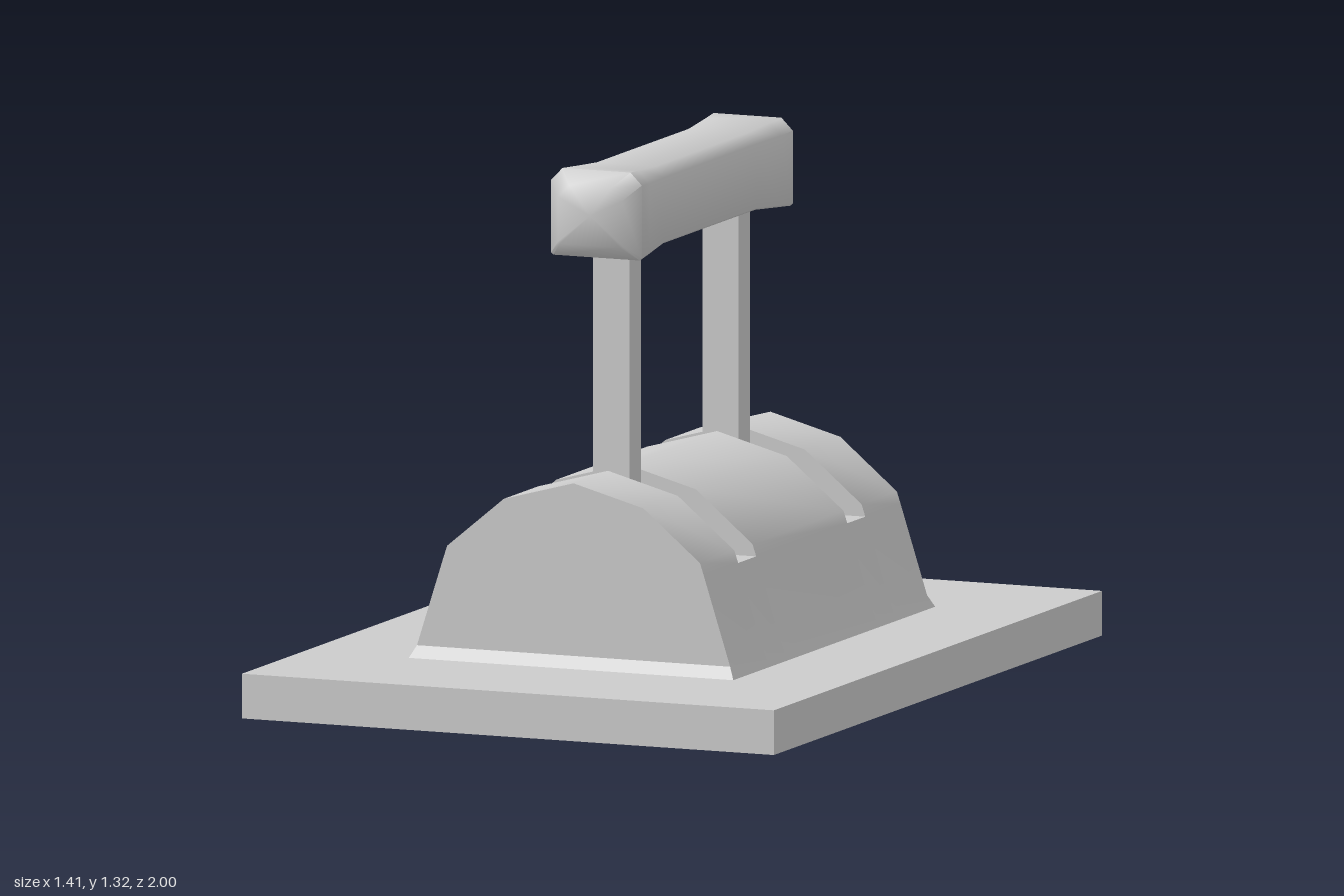
import * as THREE from 'three';
import { toCreasedNormals } from 'three/addons/utils/BufferGeometryUtils.js';

const material = new THREE.MeshStandardMaterial({ color: 0xcccccc, side: THREE.DoubleSide });
const PLATE_Y = 0.11, SLOT_Y = 0.36, END_Z = 0.6, FOOT_Z = 0.615;

// Surface through rows of [x, y, z] points
function loft(rows, closed = false, crease = 0.8) {
  const pos = [];
  for (let i = 0; i < rows.length - 1; i++) {
    const n = rows[i].length;
    for (let j = 0; j < (closed ? n : n - 1); j++) {
      const k = (j + 1) % n;
      const [a, b, c, d] = [rows[i][j], rows[i][k], rows[i + 1][k], rows[i + 1][j]];
      if (String(a) !== String(b)) pos.push(...a, ...b, ...c);
      if (String(c) !== String(d)) pos.push(...a, ...c, ...d);
    }
  }
  const g = new THREE.BufferGeometry();
  g.setAttribute('position', new THREE.Float32BufferAttribute(pos, 3));
  return toCreasedNormals(g, crease);
}

const shapeOf = pts => new THREE.Shape(pts.map(([x, y]) => new THREE.Vector2(x, y)));
const mirrored = half => [...half, ...half.filter(p => p[0] > 0).reverse().map(([x, y]) => [-x, y])];

export function createModel() {
  const model = new THREE.Group();
  const add = (name, geometry, parent = model) => {
    const mesh = new THREE.Mesh(geometry, material);
    mesh.name = name;
    parent.add(mesh);
    return mesh;
  };

  // Hollow base: four rim walls and a top plate opened under the hump
  const rim = [[-0.705, 1], [0.705, 1], [0.705, -1], [-0.705, -1]];
  add('baseRim', loft([0, PLATE_Y].map(y => rim.map(([x, z]) => [x, y, z])), true));
  const plate = shapeOf(rim);
  plate.holes.push(new THREE.Path([[-0.43, -FOOT_Z], [0.43, -FOOT_Z], [0.43, FOOT_Z], [-0.43, FOOT_Z]]
    .map(p => new THREE.Vector2(...p))));
  add('basePlate', new THREE.ShapeGeometry(plate).rotateX(-Math.PI / 2).translate(0, PLATE_Y, 0));

  // Hump: arched shell, interrupted by two cross slots
  const foot = [[0.43, PLATE_Y], [0.415, 0.14], [0.345, SLOT_Y]];
  const crown = [[0.335, 0.39], [0.185, 0.515], [0, 0.565]];
  const arch = mirrored([...foot, ...crown]);
  const cut = mirrored(foot);
  const slots = [[-0.385, -0.275], [0.28, 0.39]];

  const row = (profile, z) => profile.map(([x, y]) =>
    [x, y, Math.abs(z) === END_Z && y === PLATE_Y ? Math.sign(z) * FOOT_Z : z]);
  const hump = new THREE.Group();
  hump.name = 'hump';
  model.add(hump);
  const stops = [-END_Z, ...slots.flat(), END_Z];
  for (let i = 0; i < stops.length - 1; i++) {
    const profile = i % 2 ? cut : arch;
    add(i % 2 ? 'slotFloor' : 'humpArch', loft([row(profile, stops[i]), row(profile, stops[i + 1])]), hump);
  }

  // Slot walls facing into each gap
  const wall = shapeOf(mirrored([foot[2], ...crown]));
  for (const [z0, z1] of slots) {
    add('slotWall', new THREE.ShapeGeometry(wall).translate(0, 0, z0), hump);
    add('slotWall', new THREE.ShapeGeometry(wall).rotateY(Math.PI).translate(0, 0, z1), hump);
  }

  // End faces with a small flared foot
  for (const angle of [0, Math.PI]) {
    const end = new THREE.Group();
    end.name = 'humpEnd';
    end.rotation.y = angle;
    hump.add(end);
    add('endFace', new THREE.ShapeGeometry(shapeOf(mirrored([...foot.slice(1), ...crown]))).translate(0, 0, END_Z), end);
    add('endFlare', loft([
      [[-0.43, PLATE_Y, FOOT_Z], [0.43, PLATE_Y, FOOT_Z]],
      [[-0.415, 0.14, END_Z], [0.415, 0.14, END_Z]],
    ]), end);
  }

  // Posts rising from the slots
  for (const [z0, z1] of slots) {
    add('post', new THREE.BoxGeometry(0.096, 0.775, 0.07).translate(0, 0.7425, (z0 + z1) / 2));
  }

  // Grip: waisted bar with swollen, bevelled ends
  const section = (z, w, y0, y1, c) => [
    [-w + 0.005, y0, z], [w - 0.005, y0, z], [w, y0 + 0.005, z], [w, y1 - c, z],
    [w - c, y1, z], [-w + c, y1, z], [-w, y1 - c, z], [-w, y0 + 0.005, z]];
  const half = [
    [0.28, 0.103, 1.115, 1.303, 0.025],
    [0.4, 0.115, 1.105, 1.311, 0.03],
    [0.46, 0.12, 1.1, 1.315, 0.03],
    [0.5, 0.085, 1.135, 1.28, 0.03],
  ];
  const tip = z => Array.from({ length: 8 }, () => [0, 1.208, z]);
  const rows = [
    tip(-0.5),
    ...half.slice().reverse().map(([z, ...s]) => section(-z, ...s)),
    ...half.map(s => section(...s)),
    tip(0.5),
  ];
  add('grip', loft(rows, true, 0.95));

  return model;
}
